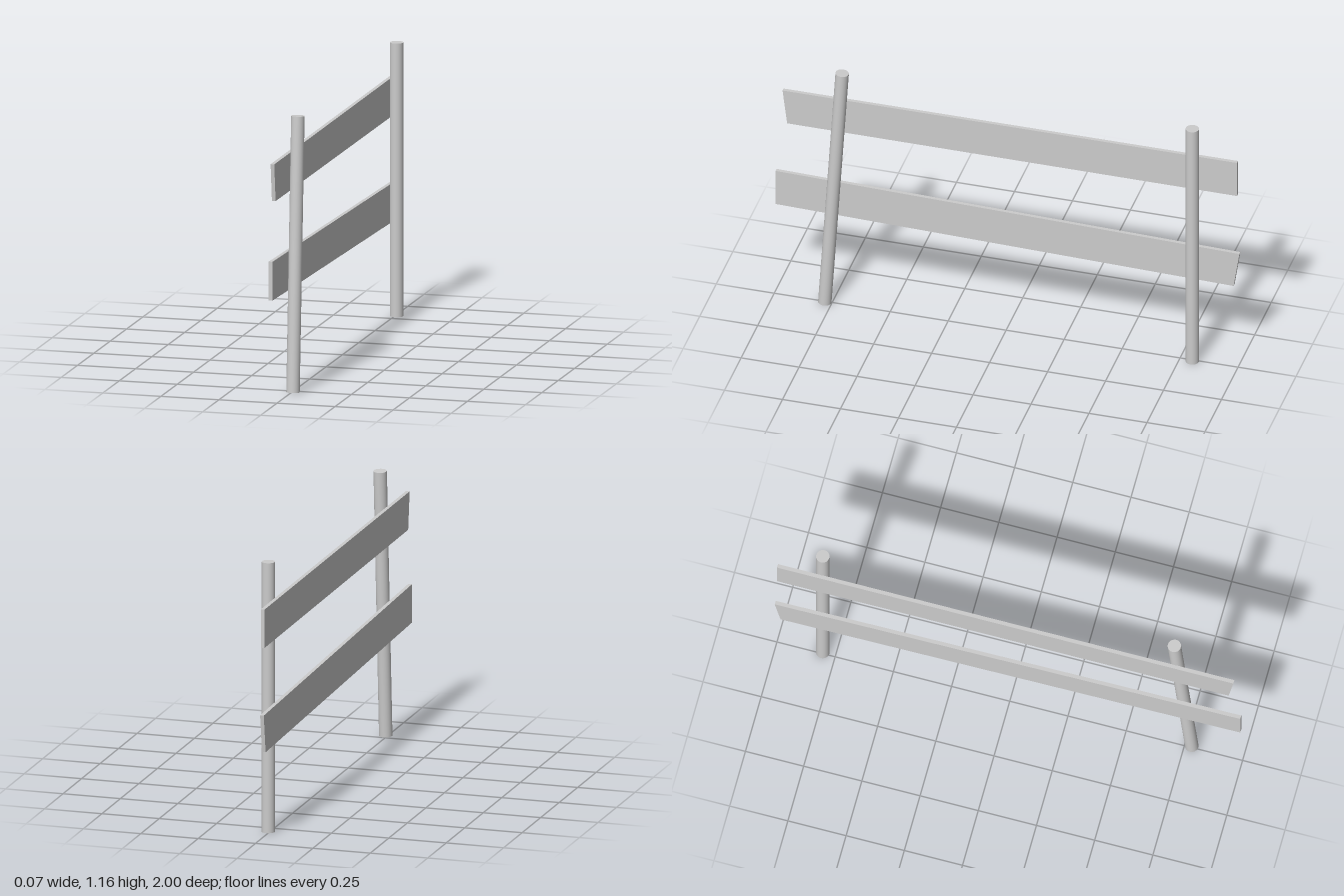
import * as THREE from 'three';

const material = new THREE.MeshStandardMaterial({ color: 0xcccccc });

// Round post between two points given as [z, y]
function makePost(name, bottom, top) {
  const a = new THREE.Vector3(0.007, bottom[1], bottom[0]);
  const b = new THREE.Vector3(0.007, top[1], top[0]);
  const axis = b.clone().sub(a);
  const post = new THREE.Mesh(new THREE.CylinderGeometry(0.028, 0.028, axis.length(), 24), material);
  post.position.copy(a).add(b).multiplyScalar(0.5);
  post.quaternion.setFromUnitVectors(new THREE.Vector3(0, 1, 0), axis.normalize());
  post.name = name;
  return post;
}

// Flat board cut to an outline of [z, y] corners, with its thickness along x
function makeBoard(name, corners) {
  const shape = new THREE.Shape(corners.map(([z, y]) => new THREE.Vector2(-z, y)));
  const geometry = new THREE.ExtrudeGeometry(shape, { depth: 0.016, bevelEnabled: false });
  const board = new THREE.Mesh(geometry, material);
  board.rotation.y = Math.PI / 2;
  board.position.x = -0.036;
  board.name = name;
  return board;
}

export function createModel() {
  const fence = new THREE.Group();
  fence.name = 'fence';
  fence.add(
    makePost('backPost', [-0.805, 0], [-0.805, 1.16]),
    makePost('leaningFrontPost', [0.78, 0.002], [0.705, 1.158]),
    makeBoard('upperBoard', [[0.97, 1.005], [0.95, 0.845], [-0.99, 0.84], [-0.99, 1.005]]),
    makeBoard('lowerBoard', [[1, 0.598], [1, 0.433], [-0.975, 0.388], [-1, 0.552]])
  );
  return fence;
}
